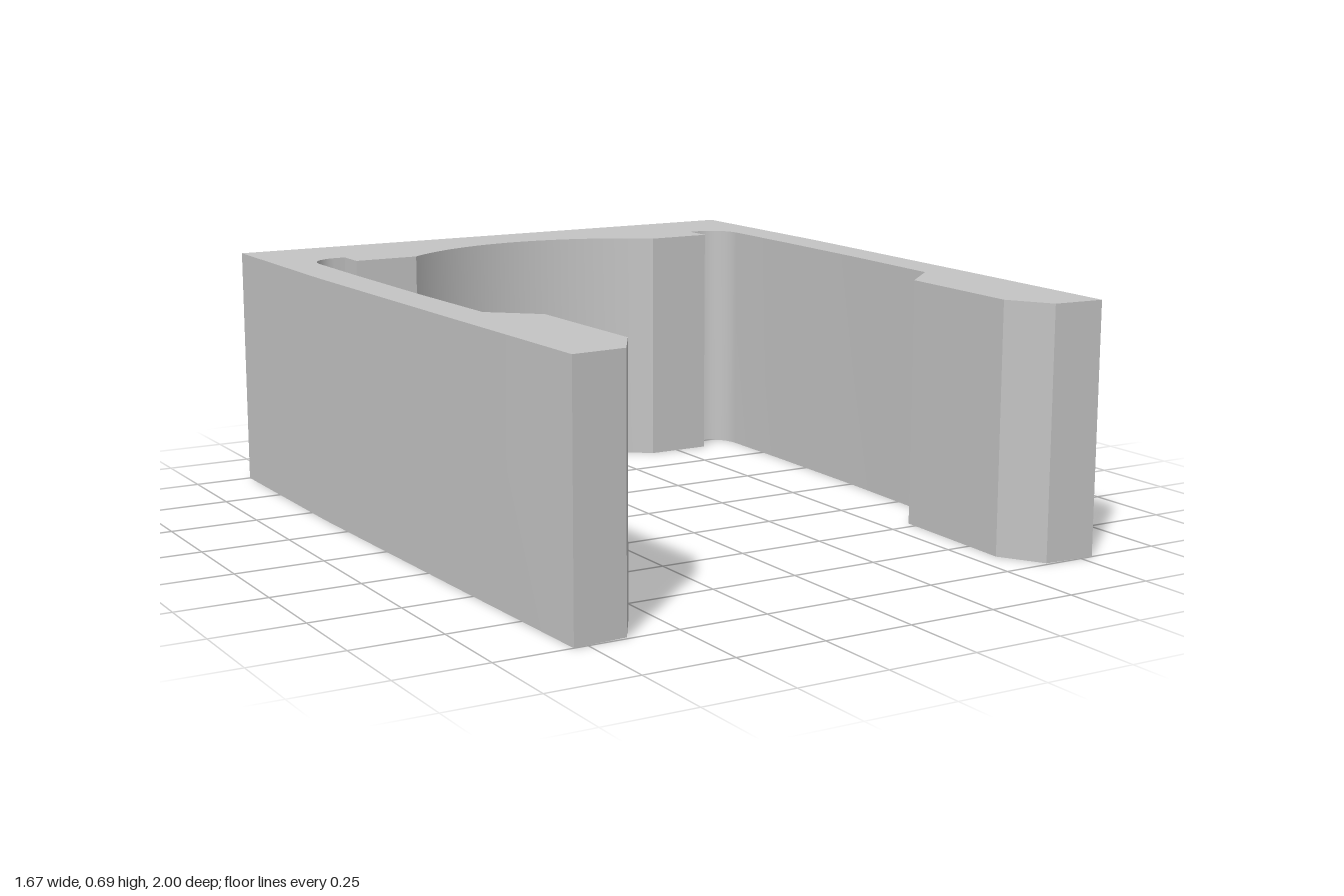
import * as THREE from 'three';
import { toCreasedNormals } from 'three/addons/utils/BufferGeometryUtils.js';

const HEIGHT = 0.695, HALF_WIDTH = 0.833;
const HOLE_X = 0.45, HOLE_R = 0.058, HOLE_DEPTH = 0.058;
const HOLE_HEIGHTS = [0.55, 0.35, 0.145];

// Half of the plan outline as [x, z], from the back corner round to the cradle
function halfOutline() {
  const pts = [
    [HALF_WIDTH, -1], [0.832, -0.4], [0.82, 0], [0.808, 0.4], [0.788, 1], // outer side
    [0.64, 0.99], [0.567, 0.87], [0.573, 0.65], [0.577, 0.47],           // gripping jaw
    [0.698, 0.36], [0.712, 0], [0.719, -0.4],                            // inner side
  ];
  // rounded relief at the root of the arm
  for (let i = 0; i <= 10; i++) {
    const a = (i / 10) * Math.PI / 2;
    pts.push([0.635 + 0.085 * Math.cos(a), -0.665 - 0.093 * Math.sin(a)]);
  }
  pts.push([0.602, -0.758], [0.602, -0.67]);
  // half of the circular cradle
  for (let i = 0; i <= 20; i++) {
    const a = 0.68 * (1 - i / 20);
    pts.push([0.652 * Math.sin(a), -0.163 - 0.652 * Math.cos(a)]);
  }
  return pts;
}

// Clip body: mirrored outline extruded upwards, left open at the back
function bodyGeometry() {
  const half = halfOutline();
  const mirrored = half.slice(0, -1).reverse().map(([x, z]) => [-x, z]);
  const shape = new THREE.Shape([...half, ...mirrored].map(([x, z]) => new THREE.Vector2(x, -z)));
  const solid = new THREE.ExtrudeGeometry(shape, { depth: HEIGHT, bevelEnabled: false });
  solid.rotateX(-Math.PI / 2);
  const flat = solid.index ? solid.toNonIndexed() : solid;
  const p = flat.attributes.position;
  const kept = [];
  for (let i = 0; i < p.count; i += 3) {
    if ([0, 1, 2].every(k => p.getZ(i + k) < -0.999)) continue;
    for (let k = 0; k < 3; k++) kept.push(p.getX(i + k), p.getY(i + k), p.getZ(i + k));
  }
  const open = new THREE.BufferGeometry();
  open.setAttribute('position', new THREE.Float32BufferAttribute(kept, 3));
  return toCreasedNormals(open, 0.4);
}

// Back face with round openings for the dimples
function backGeometry() {
  const face = new THREE.Shape([
    new THREE.Vector2(-HALF_WIDTH, 0), new THREE.Vector2(HALF_WIDTH, 0),
    new THREE.Vector2(HALF_WIDTH, HEIGHT), new THREE.Vector2(-HALF_WIDTH, HEIGHT),
  ]);
  for (const y of HOLE_HEIGHTS) {
    face.holes.push(new THREE.Path().absarc(-HOLE_X, y, HOLE_R, 0, Math.PI * 2, true));
  }
  return new THREE.ShapeGeometry(face, 12).rotateY(Math.PI).translate(0, 0, -1);
}

export function createModel() {
  const grey = new THREE.MeshStandardMaterial({ color: 0xc4c4c4, side: THREE.DoubleSide });
  grey.name = 'grey';
  const model = new THREE.Group();
  model.name = 'springClip';

  const add = (name, geometry) => {
    const mesh = new THREE.Mesh(geometry, grey);
    mesh.name = name;
    model.add(mesh);
    return mesh;
  };
  add('clipBody', bodyGeometry());
  add('backFace', backGeometry());

  // Conical dimples sunk into the back
  const cone = new THREE.ConeGeometry(HOLE_R, HOLE_DEPTH, 24, 1, true).rotateX(Math.PI / 2);
  HOLE_HEIGHTS.forEach((y, i) => {
    add('dimple' + (i + 1), cone).position.set(HOLE_X, y, -1 + HOLE_DEPTH / 2);
  });
  return model;
}
